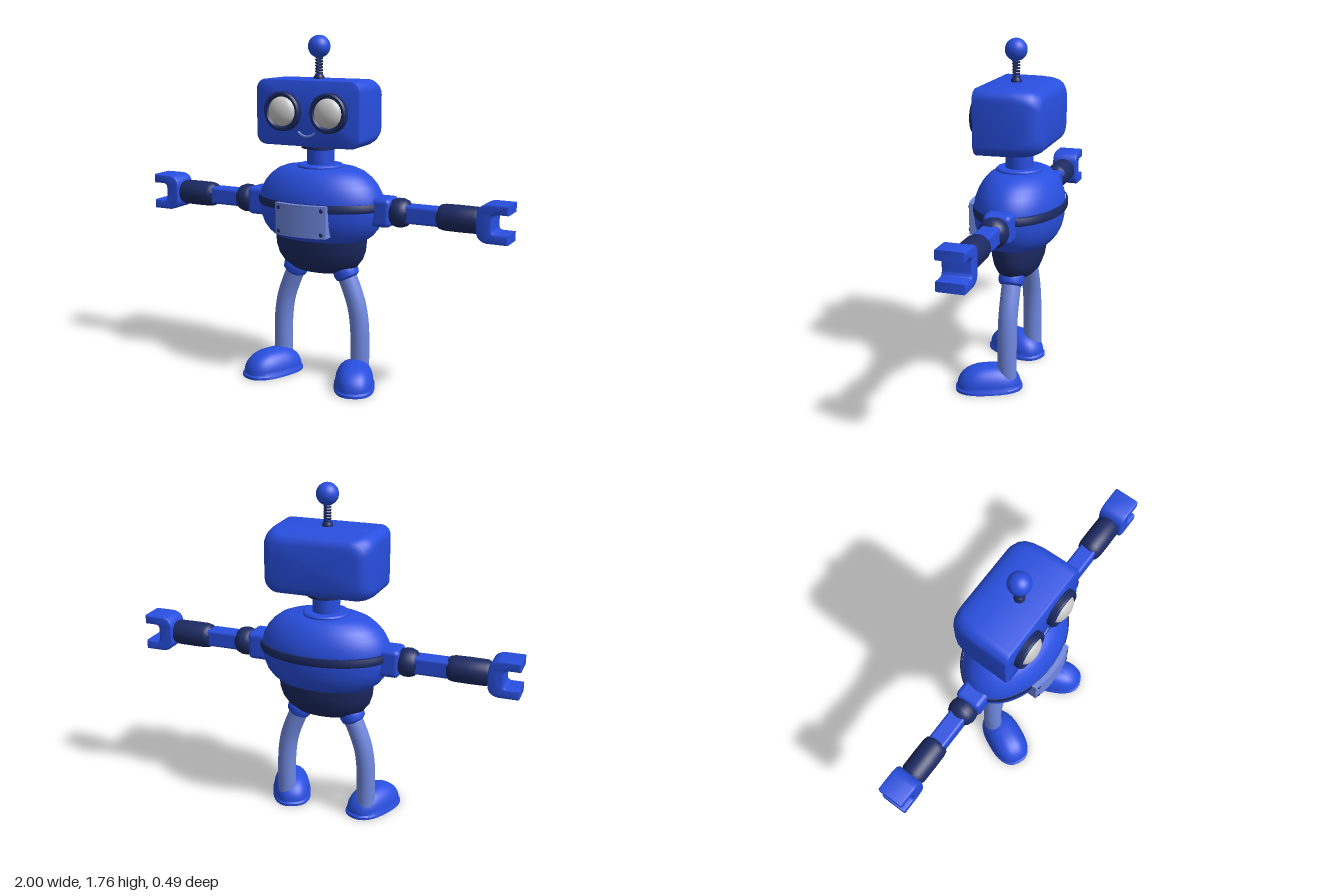
import * as THREE from 'three';
import { toCreasedNormals } from 'three/addons/utils/BufferGeometryUtils.js';
import { RoundedBoxGeometry } from 'three/addons/geometries/RoundedBoxGeometry.js';

const mat = (color) => new THREE.MeshStandardMaterial({ color });
const blue = mat(0x284fe0), dark = mat(0x1c2a63), light = mat(0x7088e0), grey = mat(0xcccccc);

function add(parent, name, geometry, material, x = 0, y = 0, z = 0) {
  const mesh = new THREE.Mesh(geometry, material);
  mesh.name = name;
  mesh.position.set(x, y, z);
  parent.add(mesh);
  return mesh;
}

// Turned part about y; profile runs [radius, height] from bottom to top
function turned(profile, segments = 40) {
  const points = profile.map(([r, y]) => new THREE.Vector2(r, y));
  return toCreasedNormals(new THREE.LatheGeometry(points, segments), 0.6);
}

// Smooth, closed skin through rings of points
function loft(rings) {
  const n = rings[0].length, pos = [], index = [];
  rings.forEach((ring) => ring.forEach((p) => pos.push(p.x, p.y, p.z)));
  for (let i = 0; i < rings.length - 1; i++) {
    for (let j = 0; j < n; j++) {
      const a = i * n + j, b = i * n + (j + 1) % n;
      index.push(a, b, b + n, a, b + n, a + n);
    }
  }
  [0, rings.length - 1].forEach((i) => {
    const centre = rings[i].reduce((s, p) => s.add(p), new THREE.Vector3()).divideScalar(n);
    const c = pos.push(centre.x, centre.y, centre.z) / 3 - 1;
    for (let j = 0; j < n; j++) {
      const a = i * n + j, b = i * n + (j + 1) % n;
      if (i === 0) index.push(c, b, a); else index.push(c, a, b);
    }
  });
  const g = new THREE.BufferGeometry();
  g.setAttribute('position', new THREE.Float32BufferAttribute(pos, 3));
  g.setIndex(index);
  return toCreasedNormals(g, 0.7);
}

function roundedRing(z, hw, hh, r) {
  const ring = [];
  [[1, 1], [-1, 1], [-1, -1], [1, -1]].forEach(([sx, sy], q) => {
    for (let k = 0; k <= 8; k++) {
      const a = (q + k / 8) * Math.PI / 2;
      ring.push(new THREE.Vector3(sx * (hw - r) + r * Math.cos(a), sy * (hh - r) + r * Math.sin(a), z));
    }
  });
  return ring;
}

function ovalRing(y, hx, hz, n = 40) {
  const bulge = (v) => Math.sign(v) * Math.abs(v) ** 0.8;
  return Array.from({ length: n }, (_, j) => {
    const a = j / n * Math.PI * 2;
    return new THREE.Vector3(hx * bulge(Math.cos(a)), y, -hz * bulge(Math.sin(a)));
  });
}

function buildHead(robot) {
  const head = new THREE.Group();
  head.name = 'head';
  robot.add(head);
  add(head, 'headShell', loft([
    roundedRing(-0.195, 0.215, 0.105, 0.06), roundedRing(-0.19, 0.235, 0.125, 0.07),
    roundedRing(-0.175, 0.256, 0.142, 0.075), roundedRing(-0.15, 0.271, 0.153, 0.07),
    roundedRing(-0.11, 0.28, 0.16, 0.065), roundedRing(-0.05, 0.284, 0.163, 0.058),
    roundedRing(0.13, 0.285, 0.163, 0.05), roundedRing(0.137, 0.283, 0.161, 0.05),
    roundedRing(0.14, 0.278, 0.156, 0.048),
  ]), blue, 0, 1.387, 0);

  for (const s of [1, -1]) {
    const rim = turned([[0.098, 0], [0.098, 0.03], [0.091, 0.038], [0.08, 0.038], [0.07, 0.02], [0, 0.02]]);
    add(head, 'eyeRim', rim.rotateX(Math.PI / 2), dark, s * 0.127, 1.395, 0.138);
    add(head, 'eyeLens', new THREE.SphereGeometry(0.073, 32, 20), grey, s * 0.127, 1.395, 0.16).scale.z = 0.55;
  }
  const smile = new THREE.TorusGeometry(0.06, 0.006, 8, 20, 1.8).rotateZ(-Math.PI / 2 - 0.9);
  add(head, 'smile', smile, light, 0, 1.335, 0.141);

  // Sprung antenna
  add(head, 'antennaBase', turned([[0.027, 0], [0.027, 0.014], [0.018, 0.028], [0, 0.028]], 24), dark, 0, 1.545, 0.007);
  const coil = Array.from({ length: 85 }, (_, i) => {
    const a = i / 12 * Math.PI * 2;
    return new THREE.Vector3(0.015 * Math.cos(a), 1.565 + 0.1 * i / 84, 0.007 + 0.015 * Math.sin(a));
  });
  add(head, 'antennaSpring', new THREE.TubeGeometry(new THREE.CatmullRomCurve3(coil), 170, 0.0055, 6), dark);
  add(head, 'antennaBall', new THREE.SphereGeometry(0.056, 32, 20), blue, 0, 1.708, 0.007);
}

function buildBody(robot) {
  add(robot, 'neck', turned([
    [0.118, 1.09], [0.118, 1.115], [0.11, 1.122], [0.07, 1.122],
    [0.07, 1.2], [0.09, 1.203], [0.096, 1.21], [0.096, 1.235],
  ]), blue, 0, 0, -0.01);
  add(robot, 'neckCollar', turned([[0.072, 1.197], [0.097, 1.203], [0.097, 1.216], [0.072, 1.216]]), dark, 0, 0, -0.01);

  add(robot, 'torso', turned([
    [0, 0.742], [0.255, 0.748], [0.286, 0.772], [0.312, 0.805], [0.33, 0.85], [0.338, 0.9], [0.338, 0.945],
    [0.328, 0.985], [0.306, 1.025], [0.275, 1.06], [0.235, 1.09], [0.19, 1.107], [0, 1.109],
  ], 64), blue, 0, 0, -0.015).scale.z = 0.65;
  add(robot, 'belt', turned([
    [0.33, 0.905], [0.342, 0.907], [0.346, 0.914], [0.346, 0.942], [0.342, 0.949], [0.33, 0.951],
  ], 64), dark, 0, 0, -0.02).scale.z = 0.66;
  add(robot, 'pelvis', turned([
    [0, 0.565], [0.13, 0.565], [0.165, 0.575], [0.205, 0.605], [0.235, 0.645], [0.25, 0.69], [0.256, 0.755],
  ], 64), dark, 0, 0, -0.012).scale.z = 0.5;

  // Curved chest plate with corner rivets
  const plate = new THREE.BoxGeometry(0.28, 0.162, 0.1, 12, 1, 1);
  const bend = (x) => -1 * x * x;
  const p = plate.attributes.position;
  for (let i = 0; i < p.count; i++) p.setZ(i, p.getZ(i) + bend(p.getX(i)));
  add(robot, 'chestPlate', toCreasedNormals(plate, 0.5), light, 0, 0.866, 0.182);
  for (const x of [-0.118, 0.118]) {
    for (const y of [0.806, 0.926]) {
      add(robot, 'rivet', new THREE.SphereGeometry(0.011, 12, 8), dark, x, y, 0.231 + bend(x)).scale.z = 0.5;
    }
  }
}

function buildArm(robot, side) {
  // The arm lies along +x and is turned about for the other side
  const arm = new THREE.Group();
  arm.name = side > 0 ? 'leftArm' : 'rightArm';
  arm.position.set(0, 0.906, -0.02);
  if (side < 0) arm.rotation.y = Math.PI;
  robot.add(arm);
  const alongX = (profile) => turned(profile, 32).rotateZ(-Math.PI / 2);

  add(arm, 'shoulder', new RoundedBoxGeometry(0.12, 0.145, 0.14, 4, 0.025), blue, 0.345);
  add(arm, 'shoulderJoint', alongX([
    [0, 0.385], [0.05, 0.387], [0.066, 0.402], [0.073, 0.425], [0.073, 0.45], [0.064, 0.474], [0.045, 0.49], [0, 0.492],
  ]), dark);
  add(arm, 'upperArm', new RoundedBoxGeometry(0.2, 0.09, 0.092, 3, 0.015), blue, 0.56);
  add(arm, 'forearm', alongX([
    [0, 0.638], [0.05, 0.638], [0.06, 0.648], [0.065, 0.67], [0.066, 0.74], [0.065, 0.83], [0.056, 0.85], [0, 0.85],
  ]), dark);

  // C-shaped gripper opening outwards
  const c = new THREE.Shape();
  c.moveTo(0.992, -0.086);
  c.lineTo(0.9, -0.086);
  c.quadraticCurveTo(0.853, -0.08, 0.853, -0.035);
  c.lineTo(0.853, 0.035);
  c.quadraticCurveTo(0.853, 0.08, 0.9, 0.086);
  c.lineTo(0.992, 0.086);
  c.lineTo(0.992, 0.055);
  c.lineTo(0.945, 0.055);
  c.quadraticCurveTo(0.912, 0.055, 0.912, 0.025);
  c.lineTo(0.912, -0.025);
  c.quadraticCurveTo(0.912, -0.055, 0.945, -0.055);
  c.lineTo(0.992, -0.055);
  c.closePath();
  const claw = new THREE.ExtrudeGeometry(c, {
    depth: 0.124, bevelThickness: 0.008, bevelSize: 0.008, bevelSegments: 3, curveSegments: 8,
  });
  add(arm, 'gripper', toCreasedNormals(claw, 0.6), blue, 0, 0, -0.062);
}

function buildLeg(robot, side) {
  const leg = new THREE.Group();
  leg.name = side > 0 ? 'leftLeg' : 'rightLeg';
  robot.add(leg);
  const hip = add(leg, 'hipCuff', turned([
    [0, -0.032], [0.05, -0.032], [0.062, -0.022], [0.066, 0], [0.064, 0.02], [0.052, 0.04], [0, 0.055],
  ], 32), blue, side * 0.145, 0.57, -0.013);
  hip.rotation.z = side * 0.45;

  const path = [[0.13, 0.59], [0.17, 0.5], [0.205, 0.4], [0.221, 0.3], [0.225, 0.2], [0.225, 0.04]]
    .map(([x, y]) => new THREE.Vector3(side * x, y, -0.015));
  add(leg, 'legTube', new THREE.TubeGeometry(new THREE.CatmullRomCurve3(path), 32, 0.049, 24), light);

  // Domed foot on a thin sole, toes turned out
  const rings = [[0, 1], [0.013, 1], [0.02, 0.95]];
  for (let k = 1; k <= 10; k++) {
    const a = k / 10 * Math.PI / 2;
    rings.push([0.02 + 0.108 * Math.sin(a), 0.95 * Math.max(Math.cos(a), 0.02) ** 0.8]);
  }
  const foot = loft(rings.map(([y, s]) => ovalRing(y, 0.104 * s, 0.172 * s)));
  add(leg, 'foot', foot, blue, side * 0.238, 0, 0.079).rotation.y = side * 0.42;
}

export function createModel() {
  const robot = new THREE.Group();
  robot.name = 'robot';
  buildHead(robot);
  buildBody(robot);
  for (const side of [1, -1]) {
    buildArm(robot, side);
    buildLeg(robot, side);
  }
  return robot;
}
